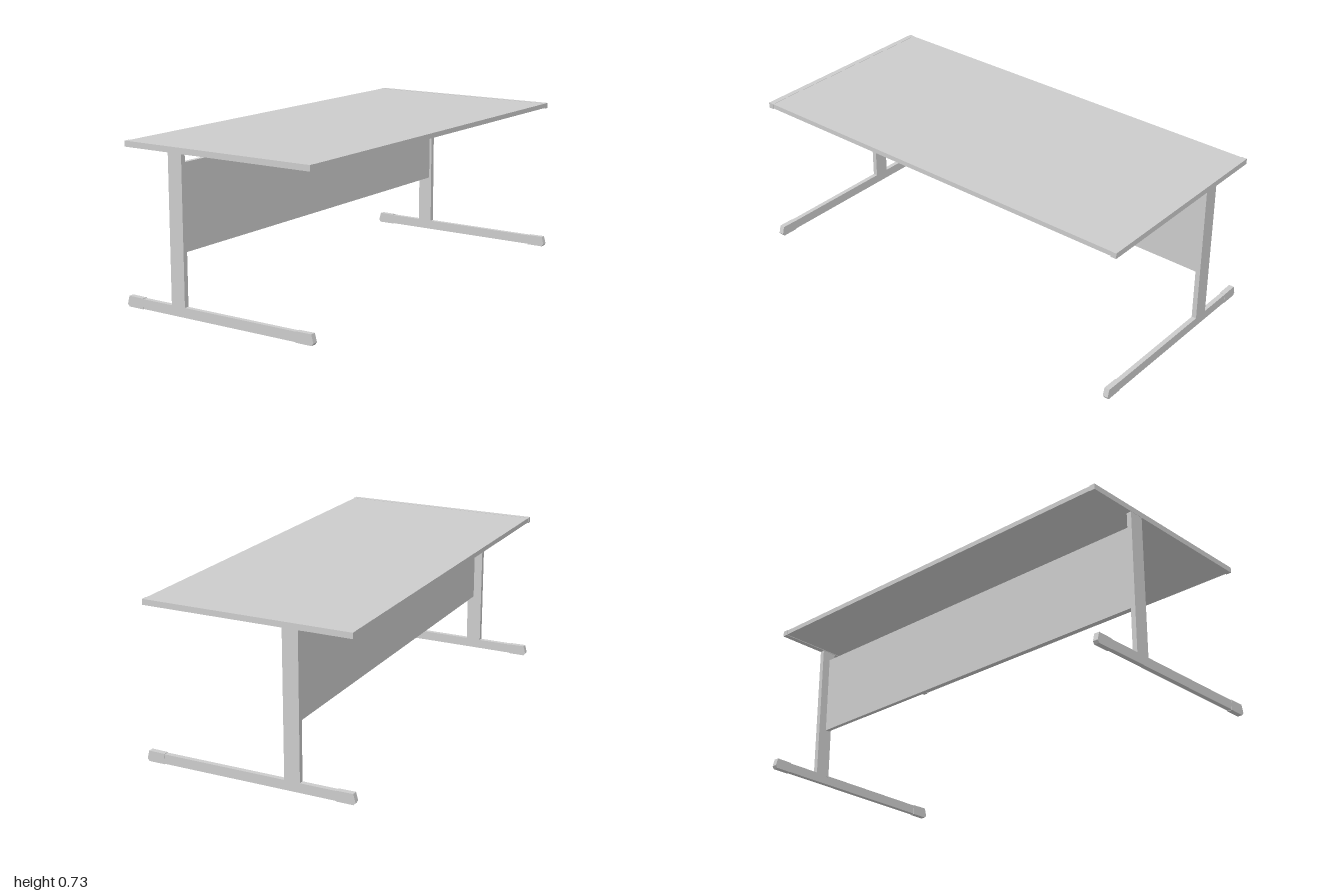
import * as THREE from 'three';

const material = new THREE.MeshStandardMaterial({ color: 0xcccccc, flatShading: true });

// Box given by its lower and upper limits on each axis
function box(name, [x0, x1], [y0, y1], [z0, z1]) {
  const mesh = new THREE.Mesh(new THREE.BoxGeometry(x1 - x0, y1 - y0, z1 - z0), material);
  mesh.position.set((x0 + x1) / 2, (y0 + y1) / 2, (z0 + z1) / 2);
  mesh.name = name;
  return mesh;
}

// Profile in x and y, extruded from z0 to z1
function plate(name, points, z0, z1) {
  const shape = new THREE.Shape(points.map(([x, y]) => new THREE.Vector2(x, y)));
  const geometry = new THREE.ExtrudeGeometry(shape, { depth: z1 - z0, bevelEnabled: false });
  geometry.translate(0, 0, z0);
  const mesh = new THREE.Mesh(geometry, material);
  mesh.name = name;
  return mesh;
}

export function createModel() {
  const desk = new THREE.Group();
  desk.name = 'desk';

  // Desktop board and the modesty panel between the legs
  desk.add(box('desktop', [-0.485, 0.485], [0.708, 0.73], [-0.974, 0.974]));
  desk.add(box('modestyPanel', [-0.204, -0.184], [0.28, 0.665], [-0.976, 0.976]));

  for (const side of [-1, 1]) {
    const span = (inner, outer) => (side > 0 ? [inner, outer] : [-outer, -inner]);
    const frame = new THREE.Group();
    frame.name = side > 0 ? 'frontLegFrame' : 'backLegFrame';

    // T-shaped leg: top rail, upright and foot bar
    frame.add(box('topRail', [-0.487, 0.487], [0.705, 0.731], span(0.974, 1)));
    frame.add(box('upright', [-0.245, -0.172], [0.04, 0.706], span(0.976, 0.999)));
    frame.add(box('footBar', [-0.42, 0.42], [0.002, 0.046], span(0.977, 0.999)));

    // Slanted caps at both ends of the foot bar
    for (const end of [-1, 1]) {
      const profile = [[0.41, 0], [0.489, 0], [0.498, 0.012], [0.488, 0.049], [0.41, 0.048]];
      frame.add(plate('footCap', profile.map(([x, y]) => [end * x, y]), ...span(0.975, 1)));
    }
    desk.add(frame);
  }
  return desk;
}
